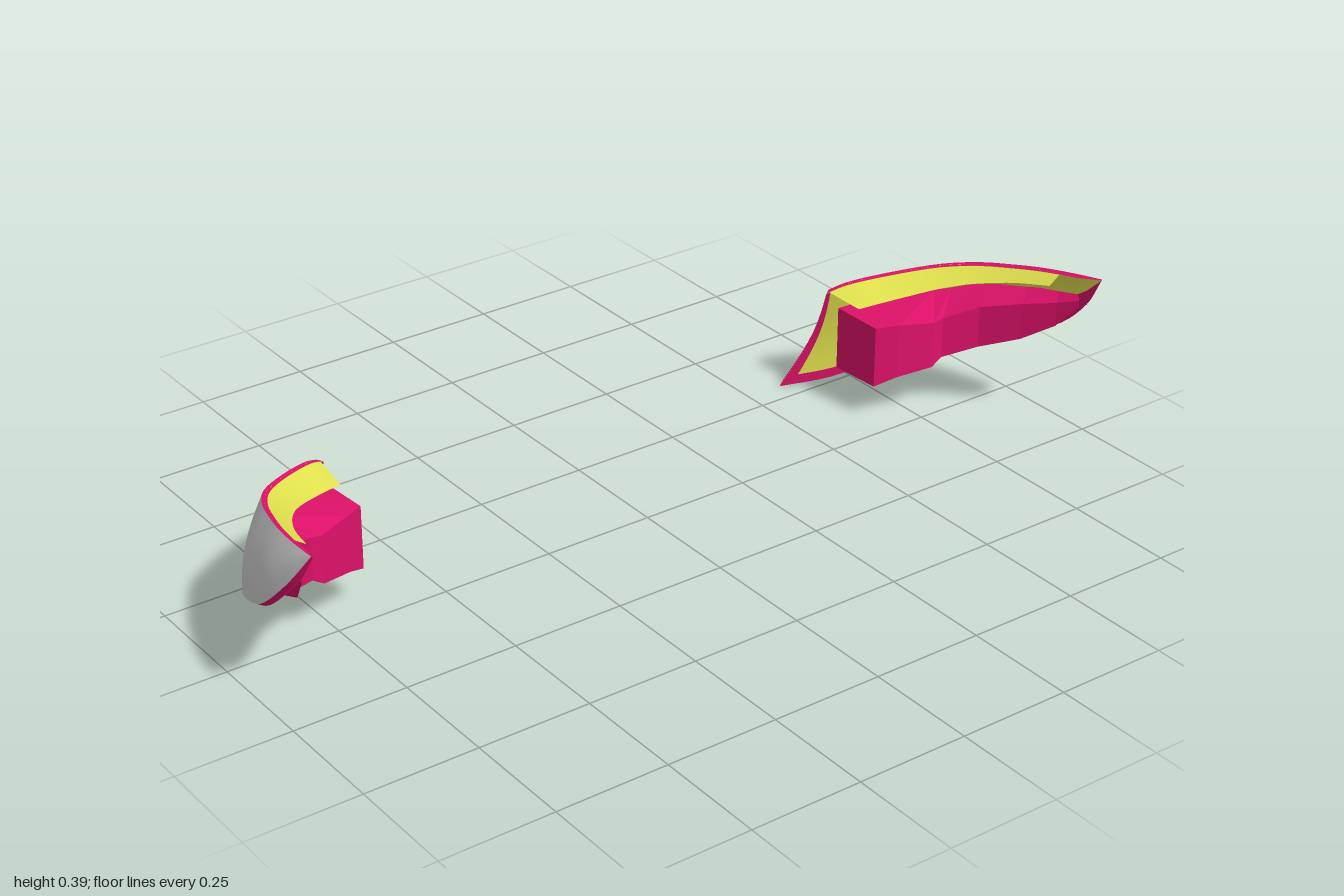
import * as THREE from 'three';

const V = (p) => new THREE.Vector3(...p);
const mat = (color, flatShading = false) =>
  new THREE.MeshStandardMaterial({ color, flatShading, side: THREE.DoubleSide });
const GREY = 0xcccccc, PINK = 0xe0126a, YELLOW = 0xe6e650;

// Lower and upper edges of the curved lens, from the wing end to the pointed tip
const lower = new THREE.CatmullRomCurve3([
  [-0.308, 0.01, 0.6], [-0.25, 0.028, 0.7], [-0.17, 0.083, 0.81], [-0.06, 0.145, 0.915],
  [0.01, 0.172, 0.96], [0.1, 0.205, 0.985], [0.17, 0.247, 0.998], [0.25, 0.325, 0.99],
  [0.305, 0.4, 0.97]].map(V));
const upper = new THREE.CatmullRomCurve3([
  [-0.22, 0.26, 0.655], [-0.2, 0.276, 0.69], [-0.15, 0.297, 0.77], [-0.075, 0.323, 0.855],
  [0, 0.343, 0.9], [0.07, 0.358, 0.925], [0.14, 0.372, 0.945], [0.22, 0.386, 0.96],
  [0.305, 0.4, 0.97]].map(V));
const inward = V([0.5, -0.3, -0.8]).normalize();

// Point on the lens: u along it, v from lower to upper edge, depth behind the outer skin
function lensPoint(u, v, depth = 0) {
  const a = lower.getPoint(u), b = upper.getPoint(u);
  const bulge = 0.08 * a.distanceTo(b) * Math.sin(Math.PI * v);
  const p = a.lerp(b, v);
  p.z += bulge;
  return p.addScaledVector(inward, depth * Math.min(1, (1 - u) * 8 + 0.25));
}

// Sheet of nu x nv cells from a rule f(u, v)
function sheet(name, nu, nv, f, material) {
  const pos = [], idx = [];
  for (let i = 0; i <= nu; i++)
    for (let j = 0; j <= nv; j++) pos.push(...f(i / nu, j / nv).toArray());
  for (let i = 0; i < nu; i++)
    for (let j = 0; j < nv; j++) {
      const a = i * (nv + 1) + j, b = a + nv + 1;
      idx.push(a, b, b + 1, a, b + 1, a + 1);
    }
  const g = new THREE.BufferGeometry();
  g.setAttribute('position', new THREE.Float32BufferAttribute(pos, 3));
  g.setIndex(idx);
  g.computeVertexNormals();
  const m = new THREE.Mesh(g, material);
  m.name = name;
  return m;
}

// Bucket behind the lens: [back x, z, bottom, top, front x, z, bottom, top] per section
function lampHousing() {
  const sections = [
    [-0.055, 0.655, 0.088, 0.23, -0.19, 0.66, 0.078, 0.225],
    [-0.03, 0.7, 0.108, 0.235, -0.15, 0.78, 0.105, 0.245],
    [-0.002, 0.775, 0.122, 0.23, -0.09, 0.85, 0.14, 0.255],
    [0, 0.8, 0.14, 0.235, -0.06, 0.875, 0.155, 0.265],
    [0.05, 0.86, 0.168, 0.265, 0, 0.925, 0.182, 0.29],
    [0.13, 0.91, 0.205, 0.29, 0.1, 0.955, 0.218, 0.31],
    [0.2, 0.945, 0.255, 0.31, 0.18, 0.965, 0.265, 0.325],
    [0.25, 0.962, 0.316, 0.33, 0.24, 0.968, 0.322, 0.34],
  ];
  const pos = [], idx = [], n = sections.length;
  for (const [bx, bz, b0, b1, fx, fz, f0, f1] of sections)
    pos.push(fx, f0, fz, bx, b0, bz, bx, b1, bz, fx, f1, fz);
  for (let i = 0; i < n - 1; i++)
    for (let j = 0; j < 4; j++) {
      const a = i * 4 + j, b = i * 4 + (j + 1) % 4;
      idx.push(a, b, b + 4, a, b + 4, a + 4);
    }
  const e = (n - 1) * 4;
  idx.push(0, 2, 1, 0, 3, 2, e, e + 1, e + 2, e, e + 2, e + 3);
  const g = new THREE.BufferGeometry();
  g.setAttribute('position', new THREE.Float32BufferAttribute(pos, 3));
  g.setIndex(idx);
  g.computeVertexNormals();
  const m = new THREE.Mesh(g, mat(PINK, true));
  m.name = 'lampHousing';
  return m;
}

function createLamp(name) {
  const lamp = new THREE.Group();
  lamp.name = name;
  const T = 0.012;

  // Outer skin and inner lining
  lamp.add(sheet('lens', 32, 10, (u, v) => lensPoint(u, v), mat(GREY)));
  lamp.add(sheet('lensLining', 32, 10, (u, v) => lensPoint(u, v, T), mat(YELLOW)));

  // Rim closing the gap between skin and lining
  const rim = mat(PINK);
  lamp.add(sheet('lowerRim', 32, 1, (u, v) => lensPoint(u, 0, v * T), rim));
  lamp.add(sheet('upperRim', 32, 1, (u, v) => lensPoint(u, 1, v * T), rim));
  lamp.add(sheet('endRim', 10, 1, (u, v) => lensPoint(0, u, v * T), rim));

  // Border bands on the inside, widening toward the tip
  lamp.add(sheet('lowerBorder', 32, 2, (u, v) =>
    lensPoint(u, v * (0.1 + 0.3 * THREE.MathUtils.smoothstep(u, 0.55, 0.85)), T + 0.003), rim));
  lamp.add(sheet('endBorder', 1, 10, (u, v) => lensPoint(u * 0.03, v, T + 0.003), rim));

  // Flange running inward from the upper edge
  const inner = new THREE.CatmullRomCurve3([
    [-0.12, 0.25, 0.66], [-0.09, 0.264, 0.72], [0, 0.305, 0.83], [0.1, 0.335, 0.89],
    [0.2, 0.358, 0.92]].map(V));
  lamp.add(sheet('topFlange', 24, 1, (u, v) =>
    lensPoint(u * 0.84, 1, T * 0.5).lerp(inner.getPoint(u), v), mat(YELLOW)));

  lamp.add(lampHousing());
  return lamp;
}

export function createModel() {
  const model = new THREE.Group();
  model.name = 'lampPair';
  const front = createLamp('frontLamp');
  const back = createLamp('backLamp');
  back.scale.z = -1;
  model.add(front, back);
  return model;
}
